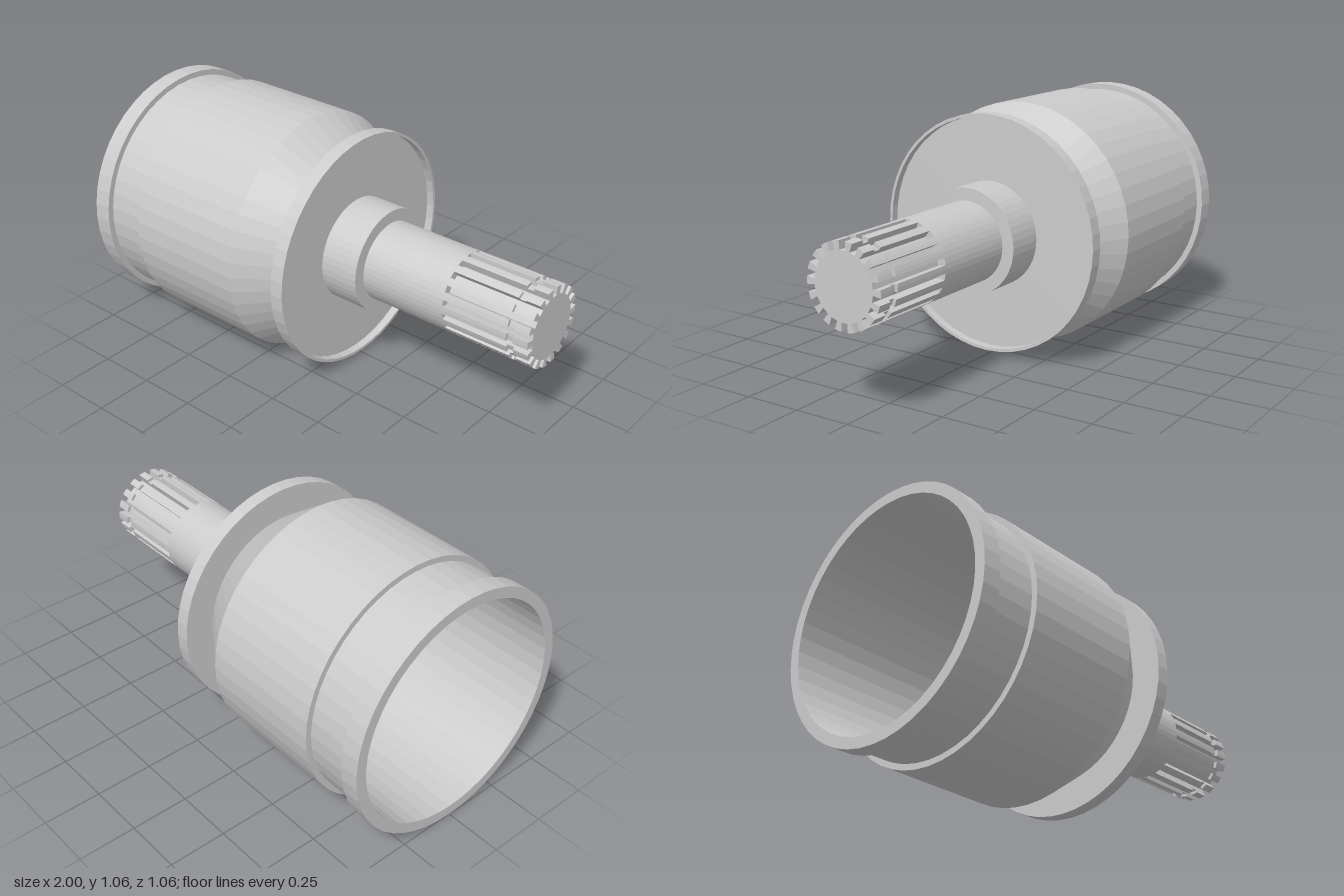
import * as THREE from 'three';

const R = 0.528;      // largest radius, also the height of the axis
const SIDES = 48;
const TEETH = 18;

const material = new THREE.MeshStandardMaterial({ color: 0xcccccc, flatShading: true });

// Turned part about the x axis; profile is a list of [x, radius]
function turned(name, profile) {
  const points = profile.map(([x, r]) => new THREE.Vector2(r, x));
  const geometry = new THREE.LatheGeometry(points, SIDES).rotateZ(-Math.PI / 2);
  const mesh = new THREE.Mesh(geometry, material);
  mesh.name = name;
  return mesh;
}

// Shaft section with parallel-sided slots, from x0 to x1
function splined(name, x0, x1, radius) {
  const floor = 0.136, half = 0.014, step = (Math.PI * 2) / TEETH;
  const edge = Math.asin(half / radius);
  const points = [];
  for (let i = 0; i < TEETH; i++) {
    const a = Math.PI / 2 + i * step;
    const c = Math.cos(a), s = Math.sin(a);
    const add = (u, v) => points.push(new THREE.Vector2(u * c - v * s, u * s + v * c));
    const outer = radius * Math.cos(edge);
    add(outer, -half);
    add(floor, -half);
    add(floor, half);
    add(outer, half);
    add(radius * Math.cos(step / 2), radius * Math.sin(step / 2));
  }
  const geometry = new THREE.ExtrudeGeometry(new THREE.Shape(points), {
    depth: x1 - x0, bevelEnabled: false,
  });
  geometry.rotateY(Math.PI / 2).translate(x0, 0, 0);
  const mesh = new THREE.Mesh(geometry, material);
  mesh.name = name;
  return mesh;
}

export function createModel() {
  const model = new THREE.Group();
  model.name = 'jointHousing';

  // Hollow cup, open at -x, with a clamp groove and a tapered shoulder
  model.add(turned('cup', [
    [0.02, 0], [0.02, 0.34], [-0.19, 0.482], [-1, 0.482],
    [-1, R], [-0.92, R], [-0.92, 0.503], [-0.73, 0.503], [-0.73, R],
    [-0.19, R], [0.02, 0.38],
  ]));

  // Dished flange with a thin raised rim
  model.add(turned('flange', [
    [0.02, 0], [0.02, 0.51], [0.08, 0.51], [0.08, 0.497], [0.045, 0.497], [0.045, 0],
  ]));

  // Collar and plain shaft
  model.add(turned('collar', [[0.045, 0.225], [0.22, 0.225], [0.22, 0.1]]));
  model.add(turned('shaft', [[0.2, 0.172], [0.61, 0.172], [0.61, 0]]));

  // Splined end, interrupted by a retaining ring groove
  model.add(splined('splines', 0.61, 0.905, 0.172));
  model.add(splined('ringGroove', 0.905, 0.935, 0.158));
  model.add(splined('splineTip', 0.935, 1, 0.172));

  for (const part of model.children) part.position.y = R;
  return model;
}
